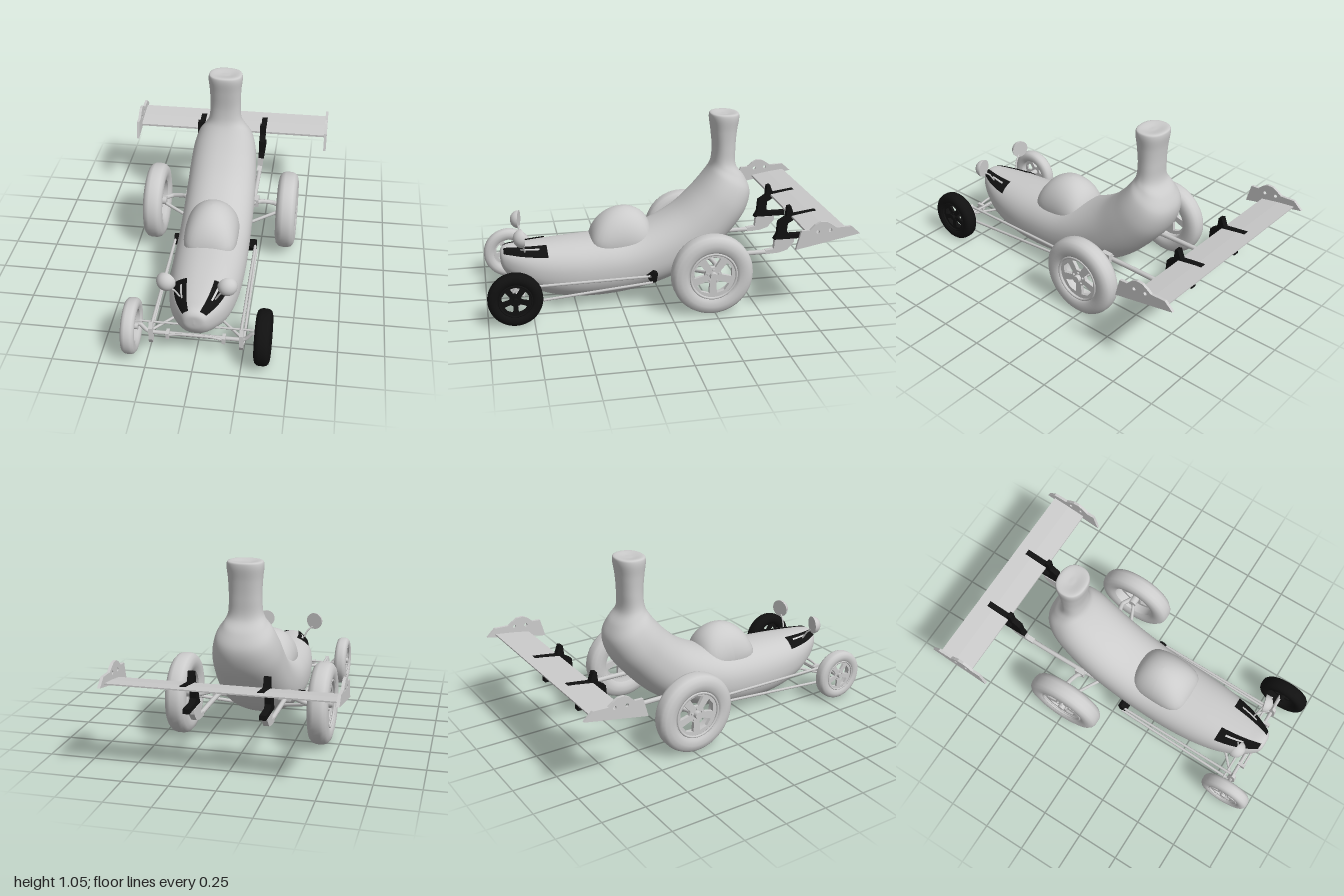
import * as THREE from 'three';

const V = (x, y, z) => new THREE.Vector3(x, y, z);
const grey = new THREE.MeshStandardMaterial({ color: 0xcccccc, side: THREE.DoubleSide });
const black = new THREE.MeshStandardMaterial({ color: 0x111111, side: THREE.DoubleSide });

// Body sections from nose to stem: top z, top y, half width, bottom z, bottom y
const SECTIONS = [
  [.912, .275, 0, .912, .255], [.908, .31, .05, .905, .215], [.885, .33, .08, .87, .16],
  [.8, .338, .13, .78, .1], [.7, .345, .165, .68, .052], [.55, .355, .192, .52, .016],
  [.35, .367, .205, .33, .012], [.17, .385, .207, .12, .04], [.03, .435, .207, -.08, .1],
  [-.1, .51, .205, -.27, .2], [-.2, .6, .197, -.43, .36], [-.265, .675, .183, -.515, .48],
  [-.3, .725, .155, -.542, .59], [-.315, .757, .118, -.51, .675], [-.322, .79, .096, -.46, .745],
  [-.325, .85, .09, -.455, .85], [-.315, .95, .093, -.462, .95], [-.305, 1.03, .1, -.473, 1.03],
  [-.31, 1.05, .094, -.468, 1.05], [-.37, 1.045, .03, -.41, 1.045], [-.39, 1.045, 0, -.39, 1.045],
];
const LAST = SECTIONS.length - 1;
const topCurve = new THREE.CatmullRomCurve3(SECTIONS.map(s => V(s[2], s[1], s[0])));
const botCurve = new THREE.CatmullRomCurve3(SECTIONS.map(s => V(0, s[4], s[3])));
const soft = t => Math.sign(t) * Math.abs(t) ** 0.88;

// Point on the body skin: s counts sections, a is the angle from the top towards +x
function skin(s, a, grow = 1) {
  const t = topCurve.getPoint(s / LAST), b = botCurve.getPoint(s / LAST);
  const w = Math.max(0, t.x);
  t.x = 0;
  const mid = t.clone().add(b).multiplyScalar(.5);
  const p = mid.clone().addScaledVector(t.sub(mid), soft(Math.cos(a)) * grow);
  p.x = w * soft(Math.sin(a)) * grow;
  return p;
}

// Grid surface from a rule f(u, v); 'closed' joins v = 1 to v = 0
function grid(f, nu, nv, closed = false) {
  const pos = [], idx = [], row = closed ? nv : nv + 1;
  for (let i = 0; i <= nu; i++)
    for (let j = 0; j < row; j++) pos.push(...f(i / nu, j / nv).toArray());
  for (let i = 0; i < nu; i++)
    for (let j = 0; j < nv; j++) {
      const k = (j + 1) % row, a = i * row + j, b = i * row + k, c = a + row, d = b + row;
      idx.push(a, b, c, b, d, c);
    }
  const g = new THREE.BufferGeometry();
  g.setAttribute('position', new THREE.Float32BufferAttribute(pos, 3));
  g.setIndex(idx);
  g.computeVertexNormals();
  return g;
}

export function createModel() {
  const model = new THREE.Group();
  const add = (name, geo, mat = grey, parent = model) => {
    const m = new THREE.Mesh(geo, mat);
    m.name = name;
    parent.add(m);
    return m;
  };
  const tube = (name, pts, r, mat = grey) => {
    const path = new THREE.CurvePath();
    for (let i = 1; i < pts.length; i++) path.add(new THREE.LineCurve3(pts[i - 1], pts[i]));
    const curve = pts.length > 2 ? new THREE.CatmullRomCurve3(pts, false, 'catmullrom', .25) : path;
    return add(name, new THREE.TubeGeometry(curve, pts.length > 2 ? 32 : 1, r, 8), mat);
  };
  const box = (name, w, h, d, x, y, z, mat = grey) => {
    const m = add(name, new THREE.BoxGeometry(w, h, d), mat);
    m.position.set(x, y, z);
    return m;
  };
  // Extrudes a side outline given as [z, y] pairs, centred on x
  const sidePlate = (name, outline, x, thick, mat = grey, holes = []) => {
    const shape = new THREE.Shape(outline.map(([z, y]) => new THREE.Vector2(-z, y)));
    for (const [z, y, r] of holes) shape.holes.push(new THREE.Path().absarc(-z, y, r, 0, 7, true));
    const g = new THREE.ExtrudeGeometry(shape, { depth: thick, bevelEnabled: false });
    g.translate(0, 0, -thick / 2).rotateY(Math.PI / 2).translate(x, 0, 0);
    return add(name, g, mat);
  };

  // Curved body and stem
  add('body', grid((u, v) => skin(u * LAST, v * Math.PI * 2), 120, 56, true));

  // Cockpit bubble: a sphere squared off in plan
  const dome = new THREE.SphereGeometry(1, 40, 24);
  const p = dome.attributes.position;
  for (let i = 0; i < p.count; i++) {
    const x = p.getX(i), y = p.getY(i), z = p.getZ(i);
    const n = Math.hypot(x, z) / ((x ** 4 + z ** 4) ** .25 || 1);
    const k = 1 + (n - 1) * (1 - Math.max(0, y)) * .9;
    p.setXYZ(i, x * k * .152, .345 + y * .18, .22 + z * k * .18 - y * .02);
  }
  dome.computeVertexNormals();
  add('cockpitBubble', dome);

  // Wheel: tyre, rim with five windows, hub and bolts
  function wheel(name, side, x, y, z, r, w, rimR, mat) {
    const g = new THREE.Group();
    g.name = name;
    g.position.set(side * x, y, z);
    g.scale.x = 1;
    g.rotation.y = side > 0 ? 0 : Math.PI;
    model.add(g);
    const h = w / 2, c = r - rimR;
    const prof = [[rimR, -h * .7], [rimR + c * .2, -h * .92], [rimR + c * .5, -h], [r - c * .22, -h * .88],
      [r - c * .06, -h * .62], [r, -h * .3], [r, h * .3], [r - c * .06, h * .62], [r - c * .22, h * .88],
      [rimR + c * .5, h], [rimR + c * .2, h * .92], [rimR, h * .7], [rimR, -h * .7]];
    add('tyre', new THREE.LatheGeometry(prof.map(q => new THREE.Vector2(...q)), 48).rotateZ(-Math.PI / 2), mat, g);
    const disc = new THREE.Shape().absarc(0, 0, rimR * 1.03, 0, Math.PI * 2);
    for (let i = 0; i < 5; i++) {
      const a = i * Math.PI * .4 + Math.PI / 2, hole = new THREE.Path();
      [[.38, -.25], [.82, -.42], [.86, 0], [.82, .42], [.38, .25]].forEach(([q, da], k) =>
        hole[k ? 'lineTo' : 'moveTo'](q * rimR * Math.cos(a + da), q * rimR * Math.sin(a + da)));
      hole.closePath();
      disc.holes.push(hole);
      const bolt = add('bolt', new THREE.CylinderGeometry(rimR * .05, rimR * .05, h * .2, 8).rotateZ(Math.PI / 2), mat, g);
      bolt.position.set(h * .62, rimR * .26 * Math.sin(a), rimR * .26 * Math.cos(a));
    }
    const rim = new THREE.ExtrudeGeometry(disc, { depth: h * .35, bevelEnabled: false, curveSegments: 32 });
    add('rim', rim.rotateY(Math.PI / 2).translate(h * .2, 0, 0), mat, g);
    add('rimLip', new THREE.TorusGeometry(rimR, h * .12, 8, 40).rotateY(Math.PI / 2).translate(h * .75, 0, 0), mat, g);
    add('hub', new THREE.CylinderGeometry(rimR * .16, rimR * .2, w * .95, 16).rotateZ(-Math.PI / 2), mat, g);
  }
  wheel('frontLeftWheel', 1, .358, .155, .85, .15, .083, .09, black);
  wheel('frontRightWheel', -1, .344, .155, .85, .15, .076, .09, grey);

  // Front axle with dropped centre, and leaf spring above it
  tube('frontAxle', [[-.34, .155], [-.3, .165], [-.255, .117], [-.15, .115], [.15, .115], [.255, .117], [.3, .165], [.34, .155]]
    .map(([x, y]) => V(x, y, .84)), .011);
  tube('leafSpring', [V(-.15, .122, .865), V(-.08, .135, .865), V(.08, .135, .865), V(.15, .122, .865)], .007);
  tube('tieRod', [V(-.31, .15, .8), V(.31, .15, .8)], .006);

  for (const s of [1, -1]) {
    wheel('rearWheel', s, .4, .235, -.233, .23, .118, .13, grey);

    // Dark nose panel with a pale slit, following the skin
    const span = (s0, s1, a0, a1, grow) => grid((u, v) =>
      skin(s0 + (s1 - s0) * u, s * (a0 + (a1 - a0) * v), grow), 16, 10);
    add('nosePanel', span(1.75, 4.35, .36, .92, 1.045), black);
    add('nosePanelSlit', span(3, 4.05, .52, .6, 1.06));

    // Headlight: domed front, flat back, on a bent stalk
    const lamp = add('headlight', new THREE.SphereGeometry(.053, 28, 12, 0, Math.PI * 2, 0, Math.PI / 2).rotateX(Math.PI / 2));
    lamp.scale.z = .95;
    lamp.position.set(s * .16, .427, .79);
    lamp.rotation.y = s * .25;
    const back = add('headlightBack', new THREE.CircleGeometry(.053, 28));
    back.position.copy(lamp.position);
    back.rotation.y = s * .25;
    tube('headlightStalk', [V(s * .15, .39, .795), V(s * .12, .365, .785), V(s * .095, .32, .775)], .005);

    // Side rods with front link plate and rear mount
    tube('upperSideRod', [V(s * .238, .165, .83), V(s * .238, .175, .08)], .008);
    tube('lowerSideRod', [V(s * .25, .075, .83), V(s * .245, .14, .07)], .008);
    sidePlate('linkPlate', [[.85, .05], [.865, .08], [.86, .15], [.84, .18], [.82, .15], [.815, .08], [.83, .05]], s * .242, .022);
    sidePlate('sideRodMount', [[.1, .17], [.06, .2], [.04, .19], [.05, .14], [.08, .135]], s * .222, .045, black);
    box('springClamp', .018, .035, .045, s * .15, .12, .852);
    tube('frontRadiusRod', [V(s * .24, .12, .83), V(s * .12, .14, .72)], .008);

    // Rear suspension arms
    tube('rearUpperArm', [V(s * .17, .28, -.2), V(s * .24, .262, -.26), V(s * .31, .245, -.28), V(s * .39, .235, -.24)], .014);
    tube('rearLowerArm', [V(s * .37, .225, -.235), V(s * .12, .16, -.12)], .01);
    box('rearArmMount', .03, .05, .06, s * .21, .268, -.25);

    // Wing support rail and dark bracket
    tube('wingRail', [V(s * .17, .22, -.05), V(s * .19, .25, -.25), V(s * .193, .255, -.45), V(s * .193, .255, -.64)], .014);
    sidePlate('railEnd', [[-.6, .245], [-.6, .268], [-.65, .275], [-.655, .335], [-.77, .335], [-.77, .31], [-.73, .265], [-.68, .25]], s * .193, .03);
    sidePlate('wingBracket', [[-.645, .335], [-.84, .335], [-.84, .362], [-.74, .362], [-.72, .38], [-.725, .43],
      [-.79, .468], [-.89, .485], [-.89, .5], [-.76, .482], [-.74, .535], [-.72, .53], [-.715, .47], [-.67, .44], [-.665, .37]],
      s * .2, .035, black);

    // Wing end plate with two small holes
    sidePlate('wingEndPlate', [[-.64, .425], [-.668, .53], [-.715, .532], [-.745, .56], [-.775, .575], [-.81, .573],
      [-.84, .555], [-.865, .537], [-.95, .54], [-1, .495]], s * .6, .016, grey, [[-.76, .52, .01], [-.83, .525, .01]]);
  }

  // Rear cross tube and wing blade
  tube('rearCrossTube', [V(-.18, .245, -.24), V(.18, .245, -.24)], .014);
  sidePlate('wingBlade', [[-.745, .463], [-.745, .475], [-.85, .493], [-.95, .505], [-.95, .498], [-.85, .48]], 0, 1.2);

  return model;
}
